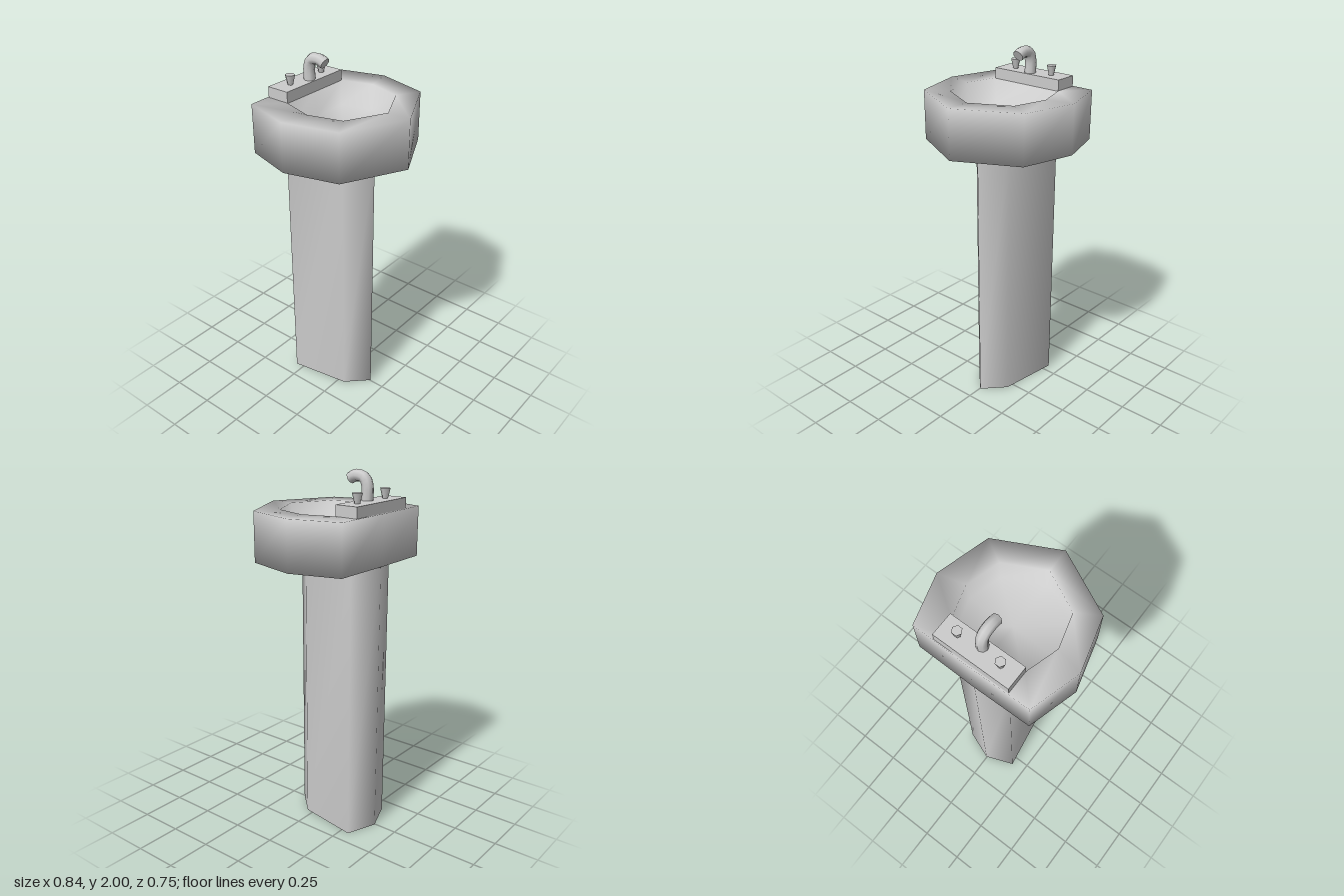
import * as THREE from 'three';

const material = new THREE.MeshStandardMaterial({ color: 0xcccccc, side: THREE.DoubleSide });

// Mirrors a half outline of [x, z] points (front middle to back middle) into a closed loop.
function mirrorOutline(half) {
  const other = half.slice(1, -1).reverse().map(([x, z]) => [-x, z]);
  return [...half, ...other];
}

// A ring at height y; scale 0 collapses it to a cap centre.
function ring(outline, y, scale = 1, centreZ = -0.05) {
  return outline.map(([x, z]) => [x * scale, y, centreZ + (z - centreZ) * scale]);
}

// Smooth skin through rings with equal point counts.
function loft(rings) {
  const n = rings[0].length;
  const index = [];
  for (let i = 0; i < rings.length - 1; i++) {
    for (let j = 0; j < n; j++) {
      const a = i * n + j, b = i * n + (j + 1) % n;
      index.push(a, b, b + n, a, b + n, a + n);
    }
  }
  const geometry = new THREE.BufferGeometry();
  geometry.setAttribute('position', new THREE.Float32BufferAttribute(rings.flat(2), 3));
  geometry.setIndex(index);
  geometry.computeVertexNormals();
  return geometry;
}

export function createModel() {
  const model = new THREE.Group();
  model.name = 'pedestalSink';
  const add = (name, geometry, x = 0, y = 0, z = 0) => {
    const mesh = new THREE.Mesh(geometry, material);
    mesh.name = name;
    mesh.position.set(x + 0.004, y, z);
    model.add(mesh);
    return mesh;
  };

  // Pedestal column
  const column = mirrorOutline([[0, 0.16], [0.115, 0.04], [0.17, -0.3], [0, -0.365]]);
  add('pedestal', loft([ring(column, 0, 0), ring(column, 0), ring(column, 0), ring(column, 1.53)]));

  // Basin: underside, outer wall, rim, inner wall and floor in one smooth skin
  const outer = mirrorOutline([[0, 0.37], [0.338, 0.2], [0.418, -0.095], [0.338, -0.37], [0, -0.375]]);
  const inner = mirrorOutline([[0, 0.237], [0.215, 0.128], [0.268, -0.06], [0.215, -0.237], [0, -0.237]]);
  add('basin', loft([
    ring(outer, 1.52, 0), ring(outer, 1.52), ring(outer, 1.79),
    ring(inner, 1.79), ring(inner, 1.65, 0.97), ring(inner, 1.65, 0),
  ]));

  // Tap deck
  add('tapDeck', new THREE.BoxGeometry(0.432, 0.06, 0.13), 0, 1.818, -0.301);

  // Flared hexagonal tap handles
  for (const side of [-1, 1]) {
    const handle = new THREE.CylinderGeometry(0.027, 0.014, 0.055, 6);
    handle.rotateY(Math.PI / 6);
    add(side > 0 ? 'leftHandle' : 'rightHandle', handle, side * 0.122, 1.873, -0.299);
  }

  // Curved spout with a closed tip
  const path = new THREE.CatmullRomCurve3([
    [1.84, -0.273], [1.92, -0.273], [1.957, -0.257], [1.969, -0.222], [1.966, -0.192], [1.953, -0.167],
  ].map(([y, z]) => new THREE.Vector3(0, y, z)));
  add('spout', new THREE.TubeGeometry(path, 10, 0.031, 8, false));
  const tip = add('spoutTip', new THREE.CircleGeometry(0.031, 8));
  const end = path.getPoint(1);
  tip.position.add(end);
  tip.lookAt(tip.position.clone().add(path.getTangent(1)));

  return model;
}
